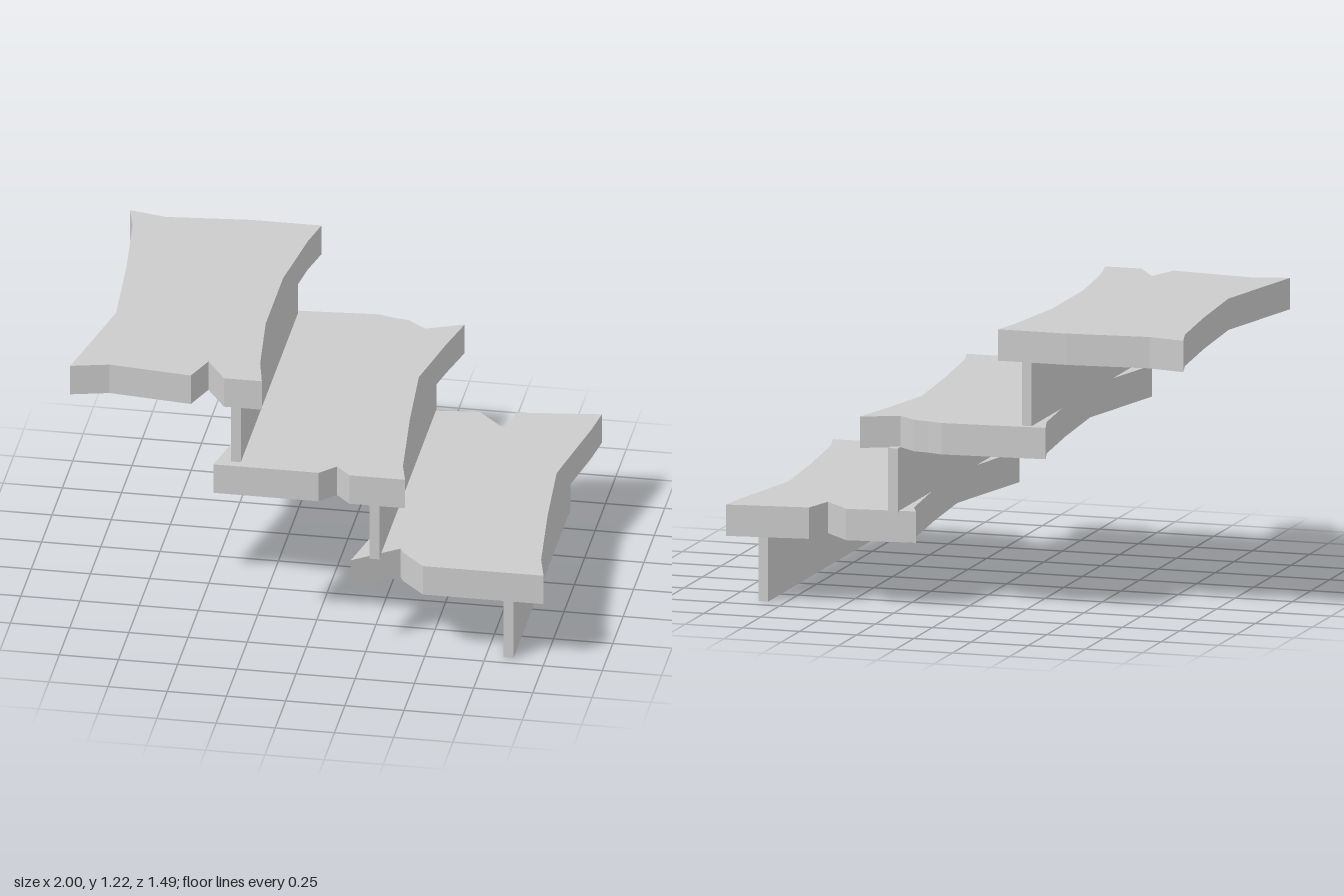
import * as THREE from 'three';

const material = new THREE.MeshStandardMaterial({ color: 0xcccccc, flatShading: true });

// Flat plank cut from an outline of [x, z] points, standing on height y
function plank(name, y, thickness, outline) {
  const shape = new THREE.Shape(outline.map(([x, z]) => new THREE.Vector2(x, -z)));
  const geometry = new THREE.ExtrudeGeometry(shape, { depth: thickness, bevelEnabled: false });
  geometry.rotateX(-Math.PI / 2);
  const mesh = new THREE.Mesh(geometry, material);
  mesh.name = name;
  mesh.position.y = y;
  return mesh;
}

// Upright board under a tread
function riser(name, x, y0, y1) {
  const mesh = new THREE.Mesh(new THREE.BoxGeometry(0.042, y1 - y0, 1.375), material);
  mesh.name = name;
  mesh.position.set(x, (y0 + y1) / 2, 0.0125);
  return mesh;
}

// Bowed left edge shared by the treads, running front to back
const bowedEdge = (x) => [[0.04, 0.55], [0.105, 0.23], [0.075, -0.19], [0.035, -0.57]]
  .map(([dx, z]) => [x + dx, z]);

export function createModel() {
  const group = new THREE.Group();
  group.name = 'brokenStairs';
  const thickness = 0.133;

  // Treads: front edge with its notch, right edge, chipped back edge, left edge
  group.add(plank('topTread', 1.087, thickness, [
    [-1, 0.74], [-0.84, 0.7], [-0.49, 0.74], [-0.44, 0.6], [-0.35, 0.74], [-0.19, 0.74],
    [-0.225, 0.58], [-0.265, 0.22], [-0.265, -0.2], [-0.222, -0.55], [-0.19, -0.7],
    [-0.49, -0.7], [-0.84, -0.665], [-1, -0.7], ...bowedEdge(-1).reverse(),
  ]));
  group.add(plank('middleTread', 0.68, thickness, [
    [-0.395, 0.74], [0.05, 0.74], [0.115, 0.67], [0.18, 0.74], [0.415, 0.74],
    [0.385, 0.62], [0.34, 0.2], [0.31, -0.19], [0.37, -0.5], [0.415, -0.695],
    [0.26, -0.63], [0.235, -0.648], [0.18, -0.695], [0.115, -0.705], [0.05, -0.725],
    [-0.395, -0.692], ...bowedEdge(-0.395).reverse(),
  ]));
  group.add(plank('bottomTread', 0.283, thickness, [
    [0.185, 0.74], [0.37, 0.6], [0.39, 0.635], [0.49, 0.74], [1, 0.74],
    [0.965, 0.6], [0.922, 0.2], [0.892, -0.19], [0.965, -0.6], [0.985, -0.75],
    [0.635, -0.705], [0.6, -0.56], [0.48, -0.685], [0.185, -0.65],
    ...bowedEdge(0.185).reverse(),
  ]));

  // Risers
  group.add(riser('topRiser', -0.307, 0.81, 1.09));
  group.add(riser('middleRiser', 0.278, 0.41, 0.683));
  group.add(riser('bottomRiser', 0.845, 0, 0.286));
  return group;
}
